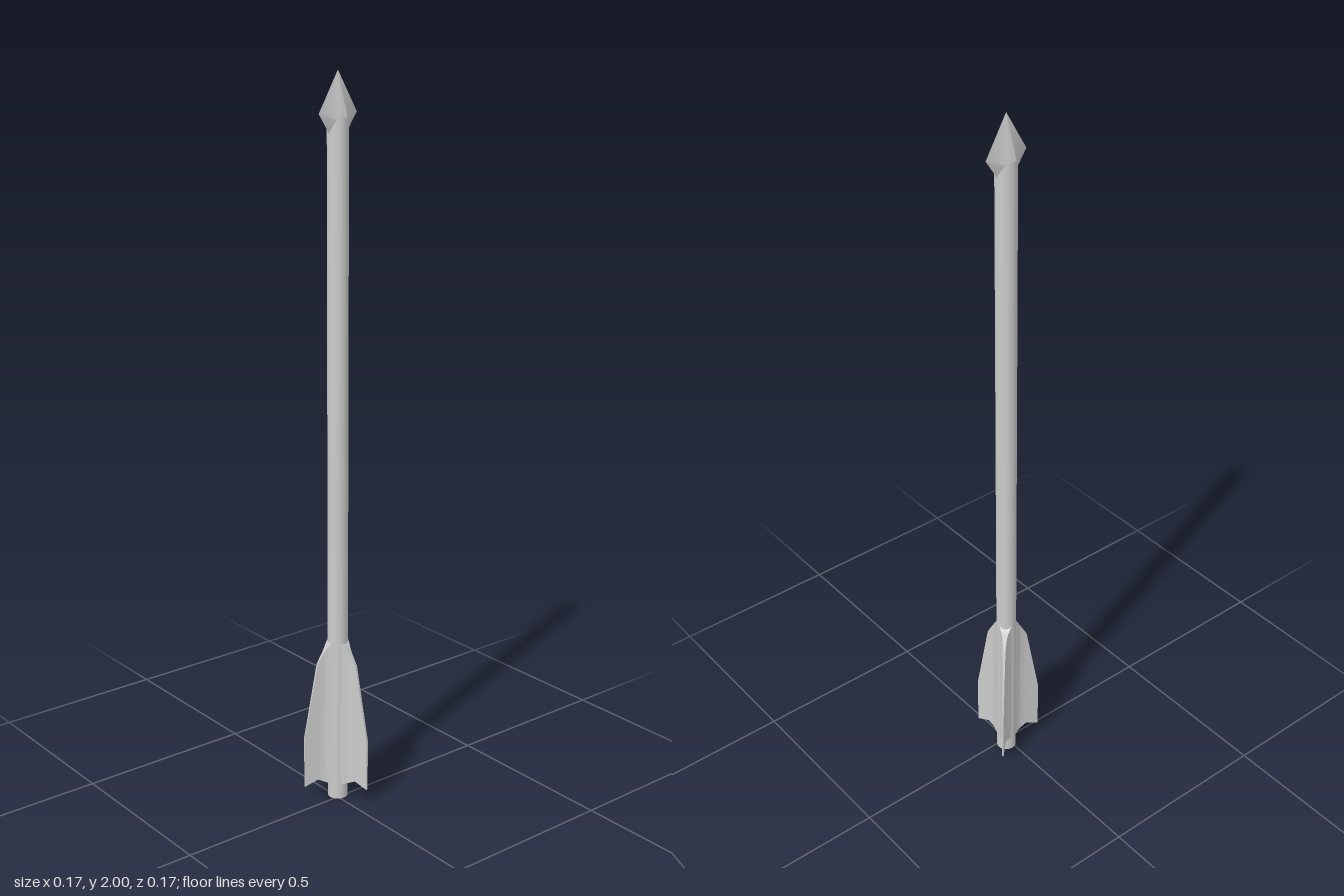
import * as THREE from 'three';
import { toCreasedNormals } from 'three/addons/utils/BufferGeometryUtils.js';

const R = 0.028; // shaft radius
const material = new THREE.MeshStandardMaterial({ color: 0xcccccc, side: THREE.DoubleSide });

function mesh(name, geometry) {
  const m = new THREE.Mesh(geometry, material);
  m.name = name;
  return m;
}

function fromTriangles(positions, crease) {
  const g = new THREE.BufferGeometry();
  g.setAttribute('position', new THREE.Float32BufferAttribute(positions, 3));
  return toCreasedNormals(g, crease);
}

// Flat pointed head that wraps round the shaft and ends in two swept barbs.
function headGeometry() {
  const tip = [0, 2, 0], split = Math.PI / 3, steps = 24;
  const out = [];
  const rim = (a) => [
    R * Math.cos(a),
    1.845 + 0.04 * Math.min(1, Math.abs(Math.sin(a)) / Math.sin(split)),
    R * Math.sin(a),
  ];
  // mirrored copies by sign of x and z, with the winding flipped to match
  for (const sx of [1, -1]) for (const sz of [1, -1]) {
    const tri = (a, b, c) => {
      const order = sx * sz > 0 ? [a, b, c] : [a, c, b];
      for (const p of order) out.push(p[0] * sx, p[1], p[2] * sz);
    };
    const barb = [0.061, 1.895, 0];
    for (let i = 0; i < steps; i++) {
      const a = (i / steps) * Math.PI / 2, b = ((i + 1) / steps) * Math.PI / 2;
      tri(a < split - 0.001 ? barb : tip, rim(b), rim(a));
    }
    tri(tip, rim(split), barb);
  }
  return fromTriangles(out, 0.6);
}

// Vane: cross-sections running outward, thick at the root and thin at the edge.
function finGeometry() {
  // radius, bottom, top, half thickness
  const sections = [
    [0.022, 0.042, 0.475, 0.017],
    [0.030, 0.045, 0.466, 0.013],
    [0.036, 0.048, 0.456, 0.009],
    [0.044, 0.051, 0.442, 0.006],
    [0.062, 0.060, 0.410, 0.004],
    [0.101, 0.045, 0.195, 0.0028],
  ];
  const loops = sections.map(([r, lo, hi, t]) => [[r, lo, t], [r, hi, t], [r, hi, -t], [r, lo, -t]]);
  const out = [];
  const quad = (a, b, c, d) => out.push(...a, ...b, ...c, ...a, ...c, ...d);
  for (let i = 0; i < loops.length - 1; i++) {
    for (let k = 0; k < 4; k++) {
      const n = (k + 1) % 4;
      quad(loops[i][k], loops[i + 1][k], loops[i + 1][n], loops[i][n]);
    }
  }
  const e = loops[loops.length - 1];
  quad(e[0], e[3], e[2], e[1]);
  return fromTriangles(out, 0.6);
}

export function createModel() {
  const model = new THREE.Group();
  model.name = 'arrow';
  model.position.set(0.011, 0, -0.014);

  const shaft = mesh('shaft', new THREE.CylinderGeometry(R, R, 1.885, 32));
  shaft.position.y = 1.885 / 2;
  model.add(shaft, mesh('arrowhead', headGeometry()));

  // three vanes, evenly spaced
  const fin = finGeometry();
  for (let i = 0; i < 3; i++) {
    const vane = mesh('vane' + (i + 1), fin);
    vane.rotation.y = -THREE.MathUtils.degToRad(75 + i * 120);
    model.add(vane);
  }

  const root = new THREE.Group();
  root.add(model);
  return root;
}
